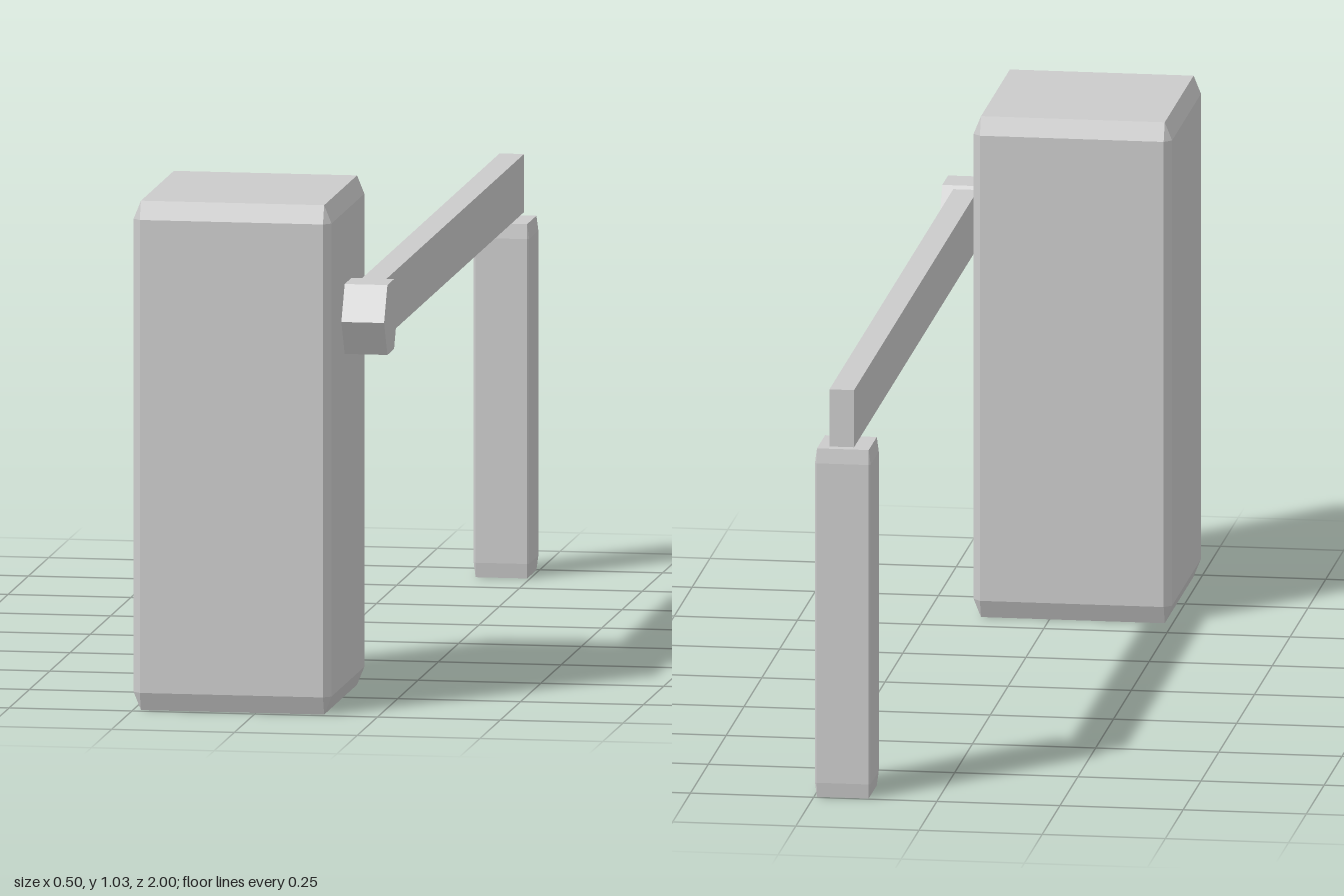
import * as THREE from 'three';
import { ConvexGeometry } from 'three/addons/geometries/ConvexGeometry.js';

const material = new THREE.MeshStandardMaterial({ color: 0xcccccc, flatShading: true });

function part(name, geometry, x, y, z) {
  const mesh = new THREE.Mesh(geometry, material);
  mesh.name = name;
  mesh.position.set(x, y, z);
  return mesh;
}

// Box with every edge chamfered; each corner becomes a small triangle
function chamferedBox(w, h, d, bx, by, bz) {
  const points = [];
  for (const sx of [-1, 1]) for (const sy of [-1, 1]) for (const sz of [-1, 1]) {
    const x = w / 2, y = h / 2, z = d / 2;
    points.push(
      new THREE.Vector3(sx * x, sy * (y - by), sz * (z - bz)),
      new THREE.Vector3(sx * (x - bx), sy * y, sz * (z - bz)),
      new THREE.Vector3(sx * (x - bx), sy * (y - by), sz * z)
    );
  }
  return new ConvexGeometry(points);
}

export function createModel() {
  const group = new THREE.Group();
  group.name = 'barrierGate';

  // Drive cabinet
  group.add(part('cabinet', chamferedBox(0.403, 1.035, 0.435, 0.015, 0.037, 0.015), -0.0475, 0.5175, 0.7825));

  // Six-sided pivot on the cabinet's side
  const hub = new THREE.CylinderGeometry(0.082, 0.082, 0.1, 6);
  hub.rotateZ(Math.PI / 2);
  // Flat sides at top and bottom, points towards front and back
  group.add(part('pivotHub', hub, 0.191, 0.78, 0.782));

  // Boom arm reaching back from the pivot
  group.add(part('boomArm', new THREE.BoxGeometry(0.05, 0.118, 1.78), 0.193, 0.785, -0.11));

  // Rest post under the far end of the arm
  group.add(part('restPost', chamferedBox(0.113, 0.72, 0.122, 0.004, 0.03, 0.004), 0.1915, 0.36, -0.938));

  return group;
}
